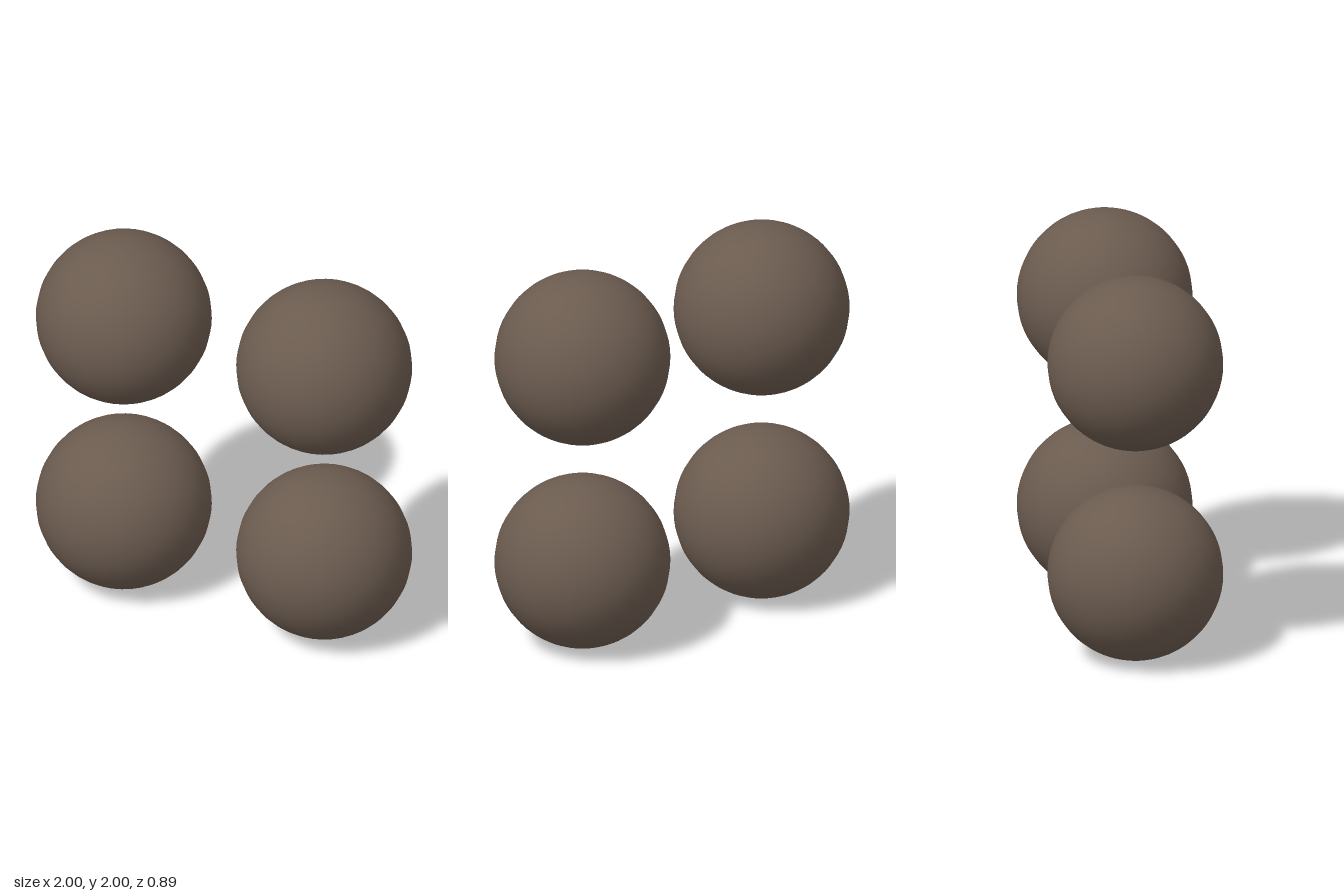
import * as THREE from 'three';

export function createModel() {
  const model = new THREE.Group();
  model.name = 'fourSpheres';

  const brown = new THREE.MeshStandardMaterial({ color: 0x6b5b4f });
  brown.name = 'warm brown';

  // Two by two grid of equal balls, standing upright
  const radius = 0.444;
  const offset = 1 - radius;
  const ball = new THREE.SphereGeometry(radius, 32, 32);

  for (const [row, y] of [['lower', radius], ['upper', 2 - radius]]) {
    for (const [side, x] of [['Right', -offset], ['Left', offset]]) {
      const mesh = new THREE.Mesh(ball, brown);
      mesh.name = `${row}${side}Sphere`;
      mesh.position.set(x, y, 0);
      model.add(mesh);
    }
  }
  return model;
}
